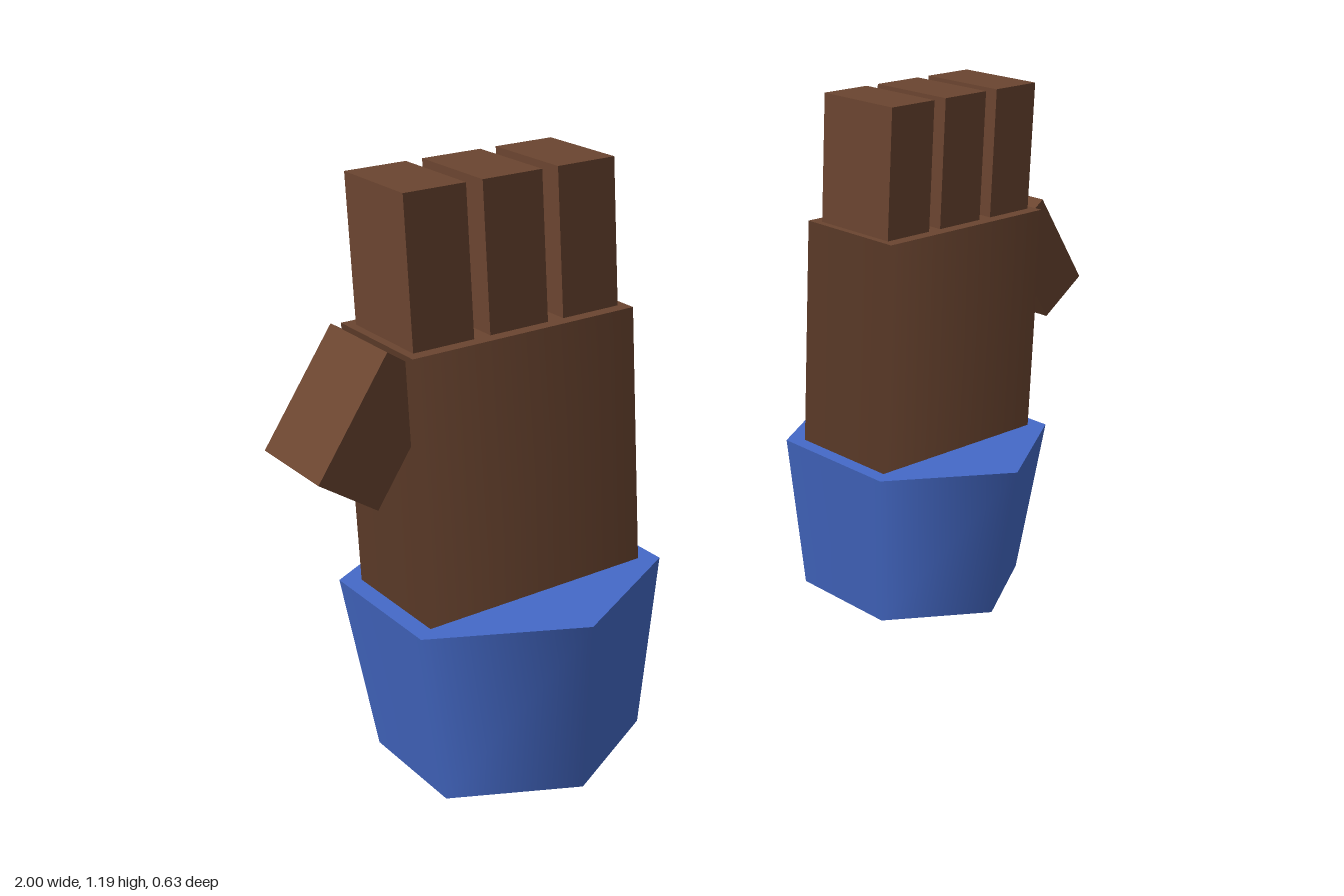
import * as THREE from 'three';

const skin = new THREE.MeshStandardMaterial({ color: 0x6b4530 });
skin.name = 'brown skin';
const cloth = new THREE.MeshStandardMaterial({ color: 0x456ac8 });
cloth.name = 'blue cuff';

function addPart(parent, name, geometry, material, x, y) {
  const mesh = new THREE.Mesh(geometry, material);
  mesh.name = name;
  mesh.position.set(x, y, 0);
  parent.add(mesh);
  return mesh;
}

// One upright hand; side is +1 for the left hand, -1 for the right
function createHand(side) {
  const hand = new THREE.Group();
  hand.name = side > 0 ? 'leftHand' : 'rightHand';
  hand.position.x = side * 0.578;

  // Flared six-sided cuff with a closed top
  addPart(hand, 'cuff', new THREE.CylinderGeometry(0.315, 0.263, 0.37, 6), cloth, 0, 0.185);

  // Four-sided palm with softly shaded sides, sunk into the cuff
  const palm = new THREE.CylinderGeometry(Math.SQRT2, Math.SQRT2, 0.6, 4);
  palm.rotateY(Math.PI / 4).scale(0.238, 1, 0.132);
  addPart(hand, 'palm', palm, skin, 0, 0.598);

  // Three square fingers
  for (let i = -1; i <= 1; i++) {
    addPart(hand, 'finger', new THREE.BoxGeometry(0.125, 0.3, 0.21), skin, i * 0.159, 1.037);
  }

  // Thumb slanting down and outwards
  const thumb = addPart(hand, 'thumb', new THREE.BoxGeometry(0.135, 0.26, 0.21), skin, side * 0.292, 0.766);
  thumb.rotation.z = side * 0.616;
  return hand;
}

export function createModel() {
  const model = new THREE.Group();
  model.name = 'pairOfHands';
  for (const side of [-1, 1]) model.add(createHand(side));
  return model;
}
